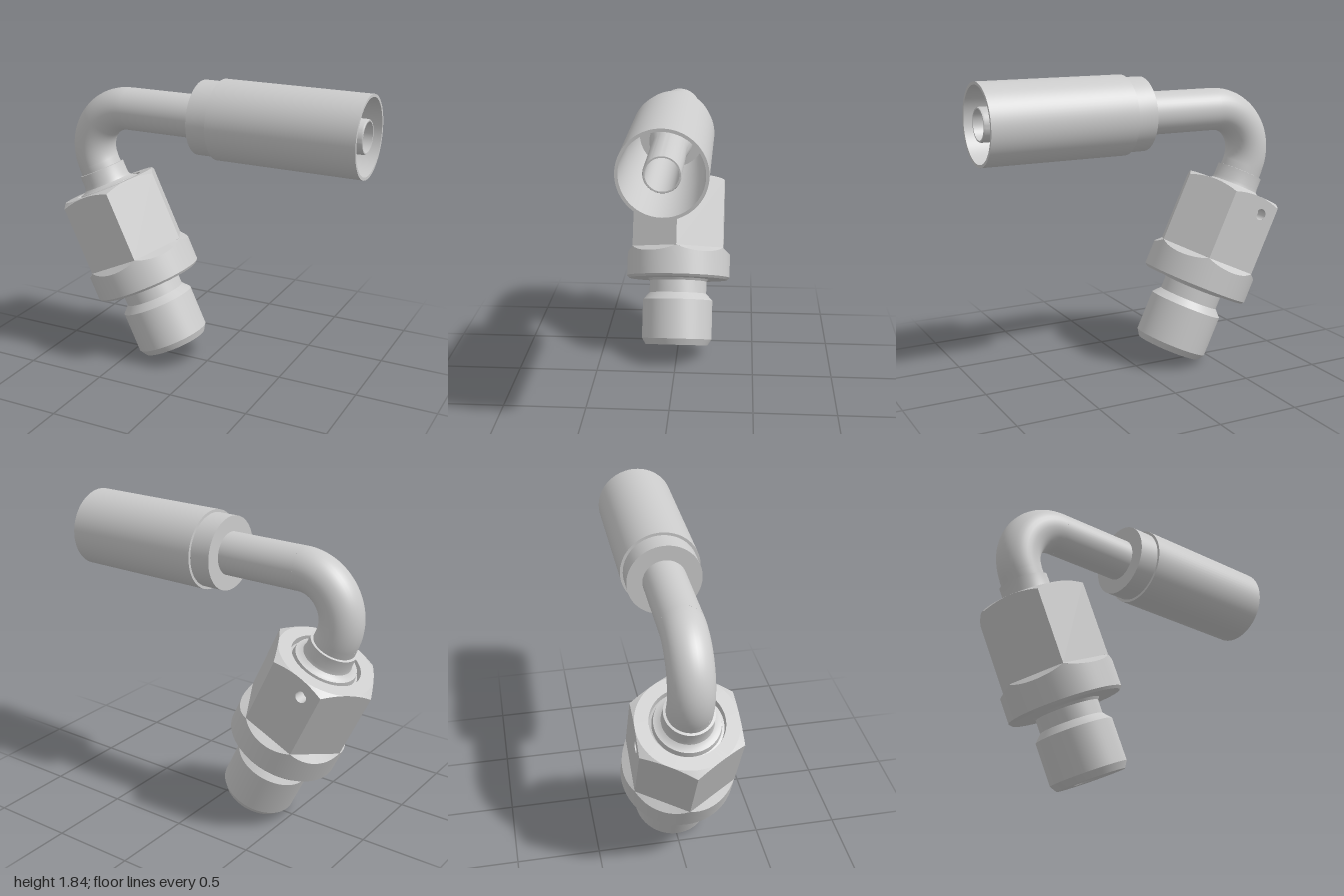
import * as THREE from 'three';
import { toCreasedNormals } from 'three/addons/utils/BufferGeometryUtils.js';

const grey = new THREE.MeshStandardMaterial({ color: 0xcccccc });
const greyInside = new THREE.MeshStandardMaterial({ color: 0xcccccc, side: THREE.BackSide });

const RAD = Math.PI / 180;
const TILT = 25 * RAD;      // lean of the threaded fitting
const FLAT = 0.295;         // hex centre to flat
const HEX_TOP = 1.1;
const TUBE_Y = 1.6, TUBE_R = 0.13, BORE_R = 0.088;
const BEND_R = 0.26, BEND_X = -0.53;

function add(parent, name, geometry, material = grey) {
  const mesh = new THREE.Mesh(geometry, material);
  mesh.name = name;
  parent.add(mesh);
  return mesh;
}

// Turned part around y; an optional rule moves the vertices of each profile row
function turned(profile, rule) {
  const geo = new THREE.LatheGeometry(profile.map(([r, y]) => new THREE.Vector2(r, y)), 72);
  if (rule) {
    const pos = geo.attributes.position;
    for (let i = 0; i < pos.count; i++) {
      const phi = Math.floor(i / profile.length) * 5 * RAD;
      const moved = rule(i % profile.length, phi);
      if (moved) pos.setXYZ(i, moved[0] * Math.sin(phi), moved[1], moved[0] * Math.cos(phi));
    }
  }
  return toCreasedNormals(geo, 25 * RAD);
}

// Hexagon radius in direction phi, and the chamfer height at that radius
function hexRadius(phi) {
  const sector = 60 * RAD;
  return FLAT / Math.cos(phi - Math.round(phi / sector) * sector);
}
const chamferY = (r) => HEX_TOP - (r - FLAT) * 0.58;

// One flat of the hex nut, with a curved chamfer edge on top
function hexFlat(hole) {
  const half = FLAT * Math.tan(30 * RAD);
  const shape = new THREE.Shape();
  shape.moveTo(-half, 0.635);
  shape.lineTo(half, 0.635);
  for (let a = 30; a >= -30; a -= 5) {
    shape.lineTo(FLAT * Math.tan(a * RAD), chamferY(FLAT / Math.cos(a * RAD)));
  }
  if (hole) {
    shape.holes.push(new THREE.Path().absarc(hole.x, hole.y, hole.r, 0, Math.PI * 2, true));
  }
  return new THREE.ShapeGeometry(shape, 16).translate(0, 0, FLAT);
}

function buildFitting() {
  const fitting = new THREE.Group();
  fitting.name = 'threadedFitting';

  // Bored stud with end chamfers, undercut and collar; shoulder blends into the hex
  const stud = [
    [BORE_R, 1.23], [BORE_R, 0.015], [0.1, 0], [0.205, 0], [0.23, 0.04], [0.23, 0.295],
    [0.188, 0.34], [0.188, 0.42], [0.2, 0.435], [0.325, 0.435], [0.34, 0.45],
    [0.34, 0.6], [FLAT, 0.635],
  ];
  add(fitting, 'studAndCollar', turned(stud, (row, phi) => {
    const r = hexRadius(phi);
    if (row === 11) return [0.34, 0.6 + (r - FLAT) * 0.75];
    if (row === 12) return [r, 0.635];
    return null;
  }));

  // Hex nut flats, the back one drilled
  const nut = new THREE.Group();
  nut.name = 'hexNut';
  fitting.add(nut);
  const hole = { x: 0.065, y: 1.0, r: 0.035 };
  for (let k = 0; k < 6; k++) {
    const flat = add(nut, 'hexFlat', hexFlat(k === 3 ? hole : null));
    flat.rotation.y = k * Math.PI / 3;
  }
  const drilling = add(nut, 'drilledHole',
    new THREE.CylinderGeometry(hole.r, hole.r, 0.08, 24, 1).rotateX(Math.PI / 2)
      .translate(hole.x, hole.y, FLAT - 0.0405), greyInside);
  drilling.rotation.y = Math.PI;
  // The cap at the mouth faces inward, so the drilling stays open from outside

  // Chamfered top of the nut with its recess
  add(nut, 'hexTop', turned(
    [[FLAT, HEX_TOP], [FLAT, HEX_TOP], [0.215, HEX_TOP], [0.21, 1.06]],
    (row, phi) => {
      if (row !== 0) return null;
      const r = hexRadius(phi);
      return [r, chamferY(r)];
    }));

  // Swivel sleeve around the tube
  add(fitting, 'swivelSleeve', turned([
    [0.21, 1.06], [0.197, 1.065], [0.19, 1.1], [0.17, 1.105], [0.15, 1.12],
    [0.145, 1.14], [0.145, 1.215], [TUBE_R, 1.217], [TUBE_R, 1.262],
  ]));

  fitting.position.set(-0.235, 0.088, 0);
  fitting.rotation.z = TILT;
  return fitting;
}

function buildTube() {
  const tube = new THREE.Group();
  tube.name = 'bentTube';
  const sweep = Math.PI / 2 + TILT;
  for (const [name, r, mat] of [['tube', TUBE_R, grey], ['tubeBore', BORE_R, greyInside]]) {
    // Bend
    const bend = add(tube, name + 'Bend', new THREE.TorusGeometry(BEND_R, r, 36, 56, sweep), mat);
    bend.position.set(BEND_X, TUBE_Y - BEND_R, 0);
    bend.rotation.z = Math.PI / 2;
    // Straight run into the hose shell
    const end = r === TUBE_R ? 0 : 0.99;
    const run = add(tube, name + 'Straight',
      new THREE.CylinderGeometry(r, r, end - BEND_X, 48, 1, true), mat);
    run.rotation.z = -Math.PI / 2;
    run.position.set((end + BEND_X) / 2, TUBE_Y, 0);
  }
  return tube;
}

function buildHoseEnd() {
  const hoseEnd = new THREE.Group();
  hoseEnd.name = 'hoseEnd';
  // Crimp shell: neck band, outer wall, rim and tapering inside
  add(hoseEnd, 'crimpShell', turned([
    [TUBE_R, -0.03], [0.223, -0.03], [0.223, 0.1], [0.24, 0.1], [0.24, 1],
    [0.223, 1], [0.215, 0.6], [0.19, 0.15], [0.125, 0.15],
  ]));
  // Inner nipple
  add(hoseEnd, 'nipple', turned([
    [0.125, 0.15], [0.122, 0.3], [0.1, 0.5], [0.1, 0.98], [0.096, 0.99], [BORE_R, 0.99],
  ]));
  hoseEnd.rotation.z = -Math.PI / 2;
  hoseEnd.position.y = TUBE_Y;
  return hoseEnd;
}

export function createModel() {
  const model = new THREE.Group();
  model.name = 'angledHoseFitting';
  model.add(buildFitting(), buildTube(), buildHoseEnd());
  return model;
}
